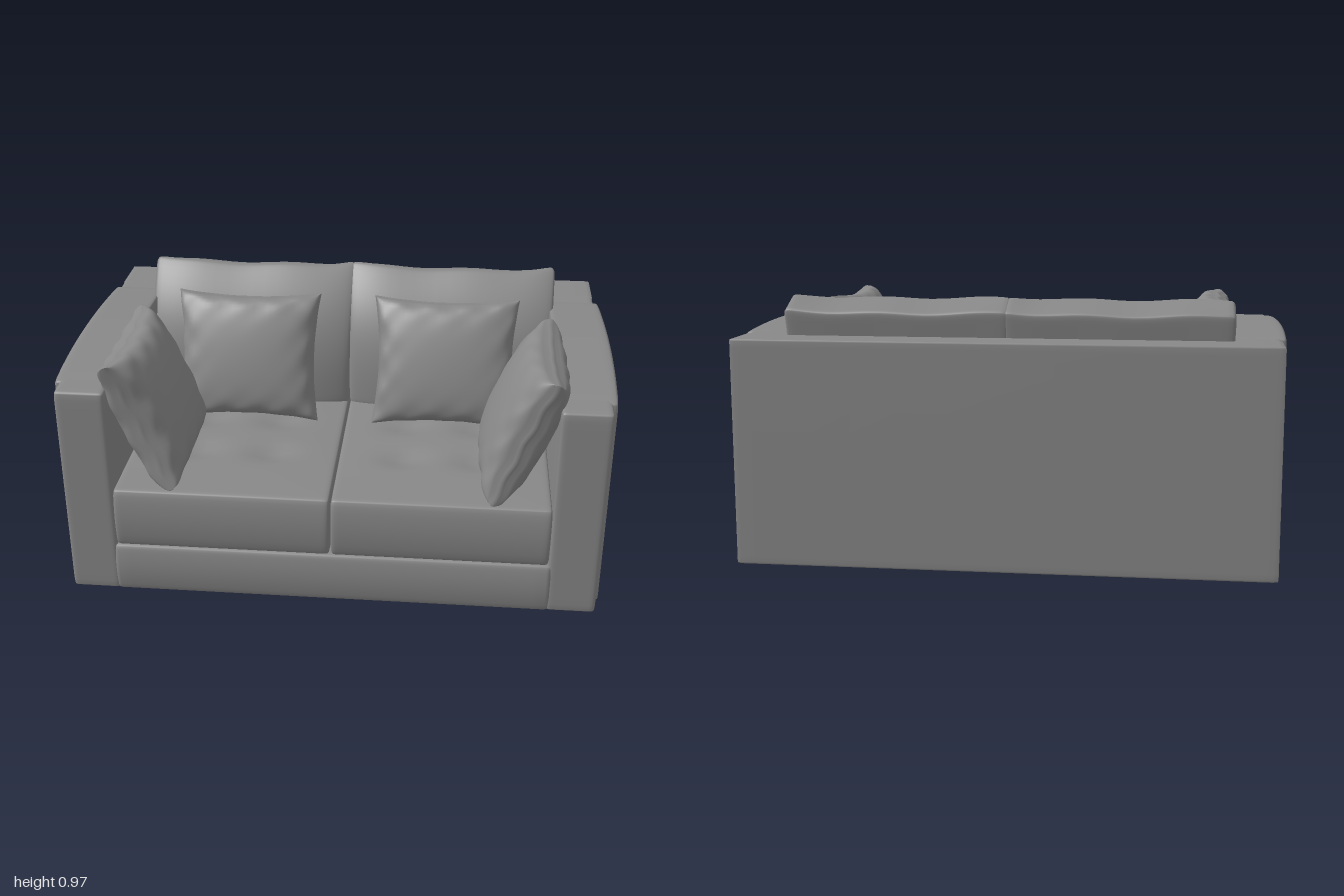
import * as THREE from 'three';
import { mergeVertices } from 'three/addons/utils/BufferGeometryUtils.js';

const material = new THREE.MeshStandardMaterial({ color: 0x888888 });

// Weld a geometry and give it smooth normals
function smooth(geometry) {
  geometry.deleteAttribute('uv');
  geometry.deleteAttribute('normal');
  const welded = mergeVertices(geometry, 1e-5);
  welded.computeVertexNormals();
  return welded;
}

// Rounded, finely divided box between two corners; rule(p, u, v, w) reshapes it,
// with u, v, w running from -1 to 1 along x, y and z
function softBox(min, max, radius, rule = () => {}, segments = [16, 16, 16]) {
  const lo = new THREE.Vector3(...min), hi = new THREE.Vector3(...max);
  const half = hi.clone().sub(lo).multiplyScalar(0.5);
  const centre = lo.clone().add(half);
  const core = half.clone().subScalar(radius);
  const geometry = new THREE.BoxGeometry(2, 2, 2, ...segments);
  const pos = geometry.attributes.position;
  const p = new THREE.Vector3(), inner = new THREE.Vector3();
  for (let i = 0; i < pos.count; i++) {
    p.fromBufferAttribute(pos, i);
    // crowd the divisions towards the edges, then round them
    p.set(...p.toArray().map((c) => Math.sin(c * Math.PI / 2))).multiply(half);
    inner.copy(p).clamp(core.clone().negate(), core);
    p.sub(inner).setLength(radius).add(inner);
    const n = p.clone().divide(half);
    p.add(centre);
    rule(p, n.x, n.y, n.z);
    pos.setXYZ(i, p.x, p.y, p.z);
  }
  return smooth(geometry);
}

// Throw pillow facing +z: plump middle, soft rim, pulled-in sides, creased edges
function pillowGeometry(width, height, thickness, seed) {
  const rimHalf = 0.016;
  const geometry = new THREE.BoxGeometry(2, 2, 2, 32, 32, 4);
  const pos = geometry.attributes.position;
  for (let i = 0; i < pos.count; i++) {
    const u = Math.sin(pos.getX(i) * Math.PI / 2);
    const v = Math.sin(pos.getY(i) * Math.PI / 2);
    const w = pos.getZ(i);
    const plump = Math.pow(Math.max(0, (1 - u * u) * (1 - v * v)), 0.34);
    const rim = Math.max(Math.abs(u), Math.abs(v)) ** 4;
    const crease = 0.008 * rim * Math.sin(u * 13 + seed) * Math.cos(v * 11 - seed);
    const tuck = 1 - 0.02 * w * w * rim;
    const x = u * (1 - 0.08 * (1 - v * v) * u * u) * tuck * width / 2;
    const y = v * (1 - 0.08 * (1 - u * u) * v * v) * tuck * height / 2;
    pos.setXYZ(i, x, y, w * (rimHalf + plump * (thickness / 2 - rimHalf)) + crease);
  }
  return smooth(geometry);
}

export function createModel() {
  const model = new THREE.Group();
  model.name = 'sofa';
  const add = (name, geometry) => {
    const mesh = new THREE.Mesh(geometry, material);
    mesh.name = name;
    model.add(mesh);
    return mesh;
  };

  // Frame: base rail with a gently swelling front, and the back slab
  add('base', softBox([-0.8, 0.02, -0.6], [0.8, 0.215, 0.597], 0.014, (p, u, v, w) => {
    if (w > 0) p.z += 0.013 * (1 - v * v);
  }));
  add('backrest', softBox([-0.97, 0.02, -0.617], [0.97, 0.843, -0.43], 0.008));

  for (const side of [1, -1]) {
    const prefix = side > 0 ? 'left' : 'right';
    const span = (a, b) => (side > 0 ? [a, b] : [-b, -a]);

    // Arm with its plain front face
    const [a0, a1] = span(0.79, 0.97);
    add(prefix + 'Arm', softBox([a0, 0.0205, -0.61], [a1, 0.8425, 0.598], 0.016, (p, u, v, w) => {
      if (v > 0 && w > 0) p.y -= 0.008 * v * w ** 4;
    }));

    // Upholstery cover over the arm: swells outwards and hangs lower on its outer edge
    const [c0, c1] = span(0.788, 0.982);
    add(prefix + 'ArmCover', softBox([c0, 0.024, -0.38], [c1, 0.843, 0.517], 0.014, (p, u, v, w) => {
      const swell = 1 - w * w;
      const outer = Math.max(0, u * side) ** 6;
      p.x += side * outer * (0.006 + 0.012 * swell);
      if (v > 0) p.y += v * (0.014 * swell - 0.006 * Math.max(0, w) ** 4);
      else p.y += v * outer * (0.01 + 0.012 * swell);
    }));

    // Seat cushion with four button dips
    const [s0, s1] = span(0.002, 0.789);
    add(prefix + 'SeatCushion', softBox([s0, 0.216, -0.43], [s1, 0.449, 0.6], 0.016, (p, u, v, w) => {
      if (w > 0) p.z += 0.014 * (1 - v * v);
      if (v < 0.5) return;
      p.y += 0.014 * (1 - u * u) * (1 - w * w);
      for (const bx of [0.25, 0.53]) {
        for (const bz of [0.02, 0.28]) {
          const dx = p.x - side * bx, dz = p.z - bz;
          p.y -= 0.026 * Math.exp(-(dx * dx * 160 + dz * dz * 350));
        }
      }
    }, [32, 10, 36]));

    // Back cushion: thick at the foot, leaning back to a ridge that slopes off behind
    const [b0, b1] = span(0.002, 0.795);
    add(prefix + 'BackCushion', softBox([b0, 0.435, -0.2], [b1, 0.976, 0.1], 0.022, (p, u, v, w) => {
      const t = (v + 1) / 2;
      const front = -0.15 - 0.2 * t ** 3 - 0.04 * u ** 4;
      const back = -0.42 - 0.07 * t;
      p.z = THREE.MathUtils.lerp(back, front, (w + 1) / 2);
      p.x += 0.012 * u * t;
      if (v > 0) p.y += v * (0.008 * u * u - 0.024 * (1 - w) + 0.004 * Math.sin(p.x * 17));
    }, [24, 20, 12]));

    // Throw pillow leaning on the back cushion
    const backPillow = add(prefix + 'BackPillow', pillowGeometry(0.56, 0.5, 0.22, side));
    backPillow.position.set(side * 0.385, 0.702, -0.06);
    backPillow.rotation.x = -0.36;

    // Throw pillow leaning on the arm
    const armPillow = add(prefix + 'ArmPillow',
      pillowGeometry(0.57, 0.52, 0.22, side + 2).rotateY(Math.PI / 2).rotateZ(-side * 0.4));
    armPillow.position.set(side * 0.675, 0.7, 0.32);
  }
  return model;
}
